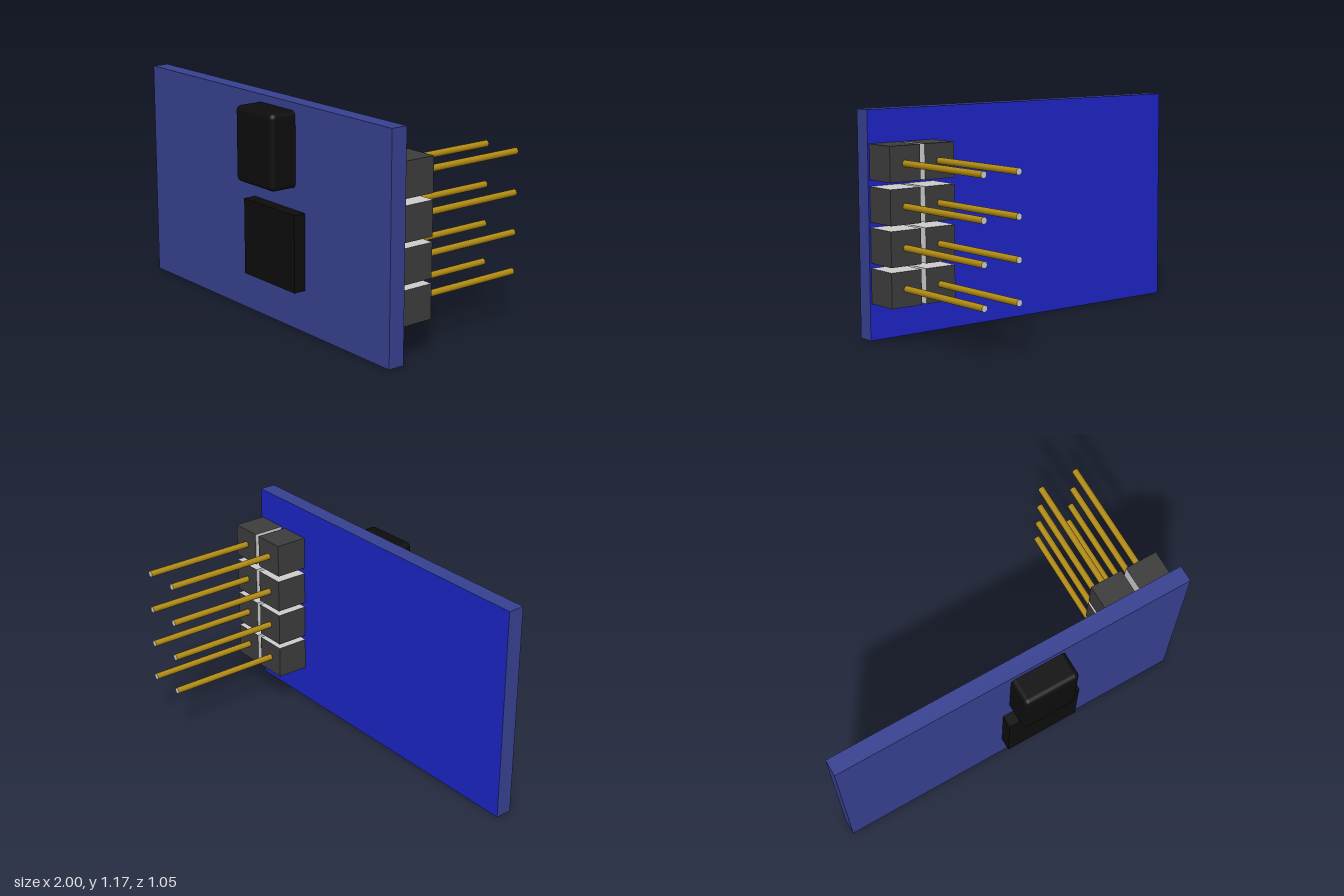
import * as THREE from 'three';
import { RoundedBoxGeometry } from 'three/addons/geometries/RoundedBoxGeometry.js';

const mat = (color) => new THREE.MeshStandardMaterial({ color });

export function createModel() {
  const model = new THREE.Group();
  model.name = 'circuitModule';

  const boardBlue = mat(0x36408f);
  const backBlue = mat(0x1c24c4);
  const chipBlack = mat(0x0d0d0d);
  const housingDark = mat(0x3c3c3c);
  const gold = mat(0xb08a12);
  const grey = mat(0xcccccc);

  const add = (parent, name, geometry, material, x, y, z) => {
    const mesh = new THREE.Mesh(geometry, material);
    mesh.name = name;
    mesh.position.set(x, y, z);
    parent.add(mesh);
    return mesh;
  };

  // Board: brighter blue on its back face
  add(model, 'board', new THREE.BoxGeometry(2, 1.17, 0.09),
    [boardBlue, boardBlue, boardBlue, boardBlue, boardBlue, backBlue], 0, 0.585, 0.338);

  // Components on the front
  add(model, 'roundedComponent', new RoundedBoxGeometry(0.31, 0.393, 0.19, 3, 0.028),
    chipBlack, 0.125, 0.933, 0.432);
  add(model, 'squareChip', new THREE.BoxGeometry(0.42, 0.403, 0.068),
    chipBlack, 0.145, 0.424, 0.416);

  // Pin header on the back: two columns of four
  const header = new THREE.Group();
  header.name = 'pinHeader';
  model.add(header);
  const columns = [0.692, 0.9];
  const rows = [0.281, 0.488, 0.696, 0.91];
  const housing = new THREE.BoxGeometry(0.18, 0.181, 0.181);
  const pin = new THREE.CylinderGeometry(0.017, 0.017, 0.637, 20).rotateX(Math.PI / 2);

  columns.forEach((x, c) => rows.forEach((y, r) => {
    // Faces that look into the gaps are grey, outer faces dark
    const faces = [
      c === 0 ? grey : housingDark,
      c === 1 ? grey : housingDark,
      r < 3 ? grey : housingDark,
      r > 0 ? grey : housingDark,
      housingDark,
      housingDark,
    ];
    add(header, 'pinHousing', housing, faces, x, y, 0.2025);
    add(header, 'pin', pin, [gold, grey, grey], x, y, -0.2065);
  }));

  return model;
}
